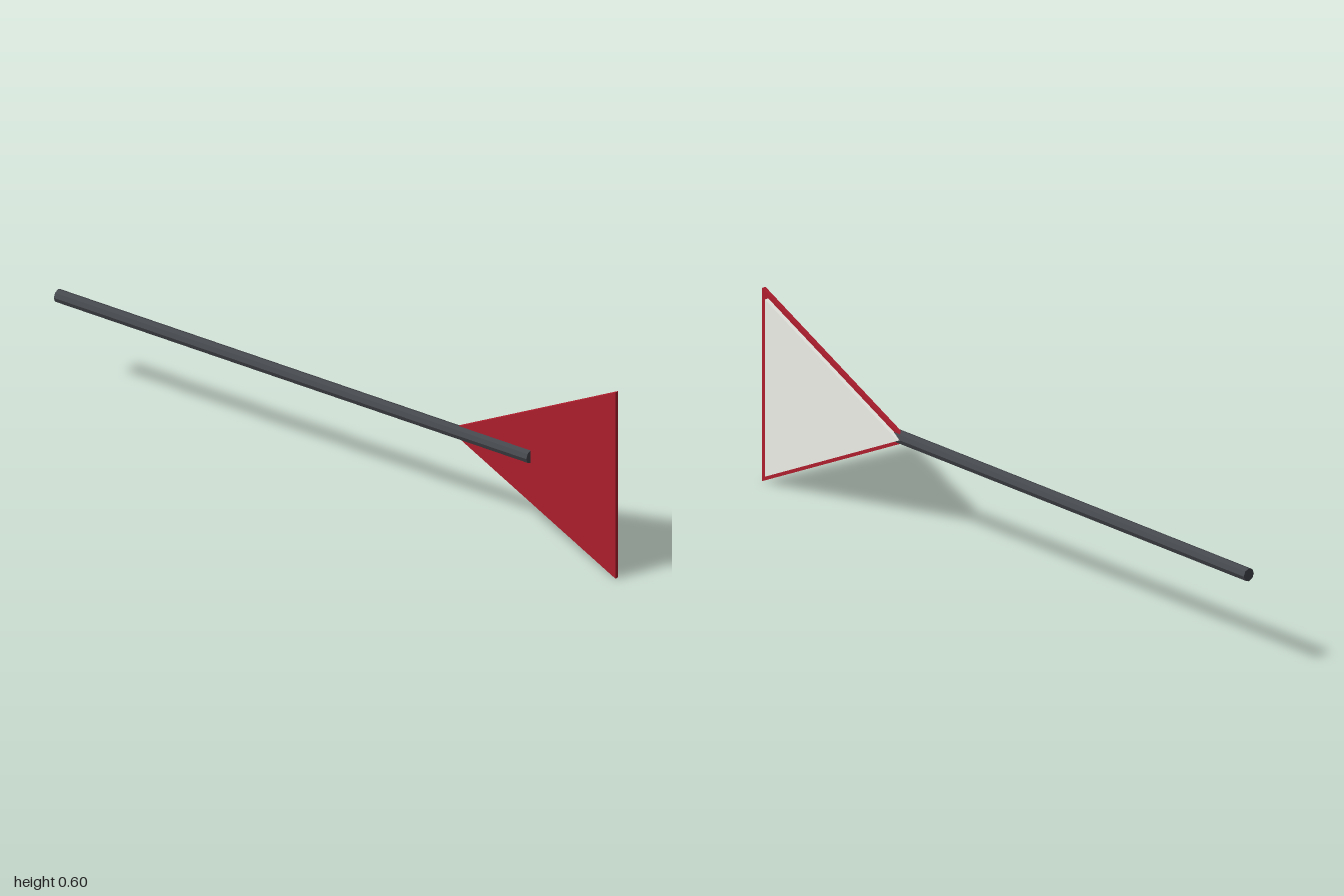
import * as THREE from 'three';

const MID_Y = 0.3;

// Thin triangular plate in the yz plane: flat base at zBase, tip pointing back
function pennant(name, zBase, length, xMin, xMax, color) {
  const half = length / 2;
  const shape = new THREE.Shape([
    new THREE.Vector2(zBase - length, MID_Y),
    new THREE.Vector2(zBase, MID_Y - half),
    new THREE.Vector2(zBase, MID_Y + half),
  ]);
  const geometry = new THREE.ExtrudeGeometry(shape, { depth: xMax - xMin, bevelEnabled: false });
  geometry.rotateY(-Math.PI / 2); // shape x becomes z, depth runs towards -x
  geometry.translate(xMax, 0, 0);
  const mesh = new THREE.Mesh(geometry, new THREE.MeshStandardMaterial({ color, flatShading: true }));
  mesh.name = name;
  return mesh;
}

export function createModel() {
  const model = new THREE.Group();
  model.name = 'pennantOnPole';

  // Octagonal pole, ending behind the middle of the plate
  const zStart = -1, zEnd = 0.695;
  const pole = new THREE.Mesh(
    new THREE.CylinderGeometry(0.02, 0.02, zEnd - zStart, 8),
    new THREE.MeshStandardMaterial({ color: 0x45484d, flatShading: true })
  );
  pole.name = 'pole';
  pole.rotation.x = Math.PI / 2;
  pole.position.set(-0.004, MID_Y, (zStart + zEnd) / 2);
  model.add(pole);

  // Red backing plate and the smaller pale panel on its left face
  model.add(pennant('backingPlate', 1, 0.6, -0.004, 0.009, 0xb01e2e));
  model.add(pennant('facePanel', 0.975, 0.55, 0.009, 0.022, 0xf0f0ea));

  return model;
}
